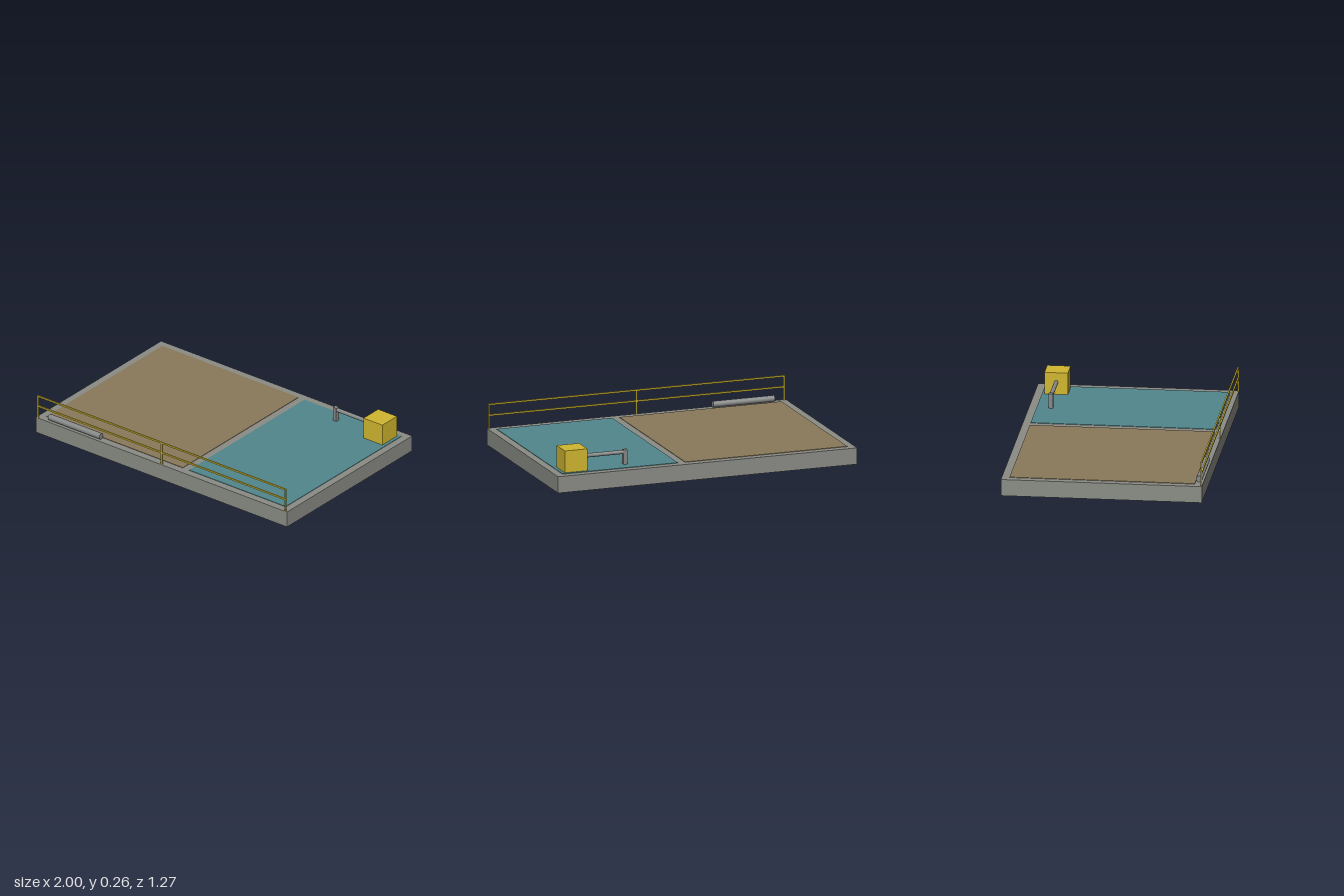
import * as THREE from 'three';

const mat = (name, color) => {
  const m = new THREE.MeshStandardMaterial({ color });
  m.name = name;
  return m;
};

export function createModel() {
  const concrete = mat('concrete', 0x8a8c85);
  const sludge = mat('brown water', 0x8a795a);
  const water = mat('teal water', 0x50878d);
  const yellow = mat('safety yellow', 0xcfb62f);
  const steel = mat('steel', 0x868888);
  const model = new THREE.Group();
  model.name = 'treatmentBasin';

  // box given by its minimum and maximum corners
  const box = (name, material, [x0, y0, z0], [x1, y1, z1], parent = model) => {
    const mesh = new THREE.Mesh(new THREE.BoxGeometry(x1 - x0, y1 - y0, z1 - z0), material);
    mesh.position.set((x0 + x1) / 2, (y0 + y1) / 2, (z0 + z1) / 2);
    mesh.name = name;
    parent.add(mesh);
  };

  // horizontal cylinder running along x
  const pipe = (name, x0, x1, y, z, r) => {
    const mesh = new THREE.Mesh(new THREE.CylinderGeometry(r, r, x1 - x0, 20).rotateZ(Math.PI / 2), steel);
    mesh.position.set((x0 + x1) / 2, y, z);
    mesh.name = name;
    model.add(mesh);
  };

  // slab and the two basin surfaces
  const top = 0.106;
  box('slab', concrete, [-1, 0, -0.633], [1, top, 0.633]);
  box('brownBasin', sludge, [-0.952, top - 0.004, -0.584], [0.132, top + 0.003, 0.584]);
  box('tealBasin', water, [0.181, top - 0.004, -0.584], [0.952, top + 0.003, 0.584]);

  // pump housing with its outlet pipe and spout
  box('pumpHousing', yellow, [0.78, top, -0.568], [0.93, 0.25, -0.42]);
  pipe('outletPipe', 0.5, 0.785, 0.187, -0.494, 0.013);
  box('spout', steel, [0.488, top, -0.509], [0.515, 0.203, -0.481]);

  // pipe lying along the front edge
  pipe('edgePipe', -0.91, -0.5, 0.127, 0.606, 0.02);

  // front railing
  const railing = new THREE.Group();
  railing.name = 'railing';
  model.add(railing);
  for (const x of [-0.985, 0, 0.985])
    box('railPost', yellow, [x - 0.005, top, 0.624], [x + 0.005, 0.264, 0.633], railing);
  for (const y of [0.19, 0.26])
    box('rail', yellow, [-0.99, y - 0.005, 0.624], [0.99, y + 0.005, 0.633], railing);

  return model;
}
